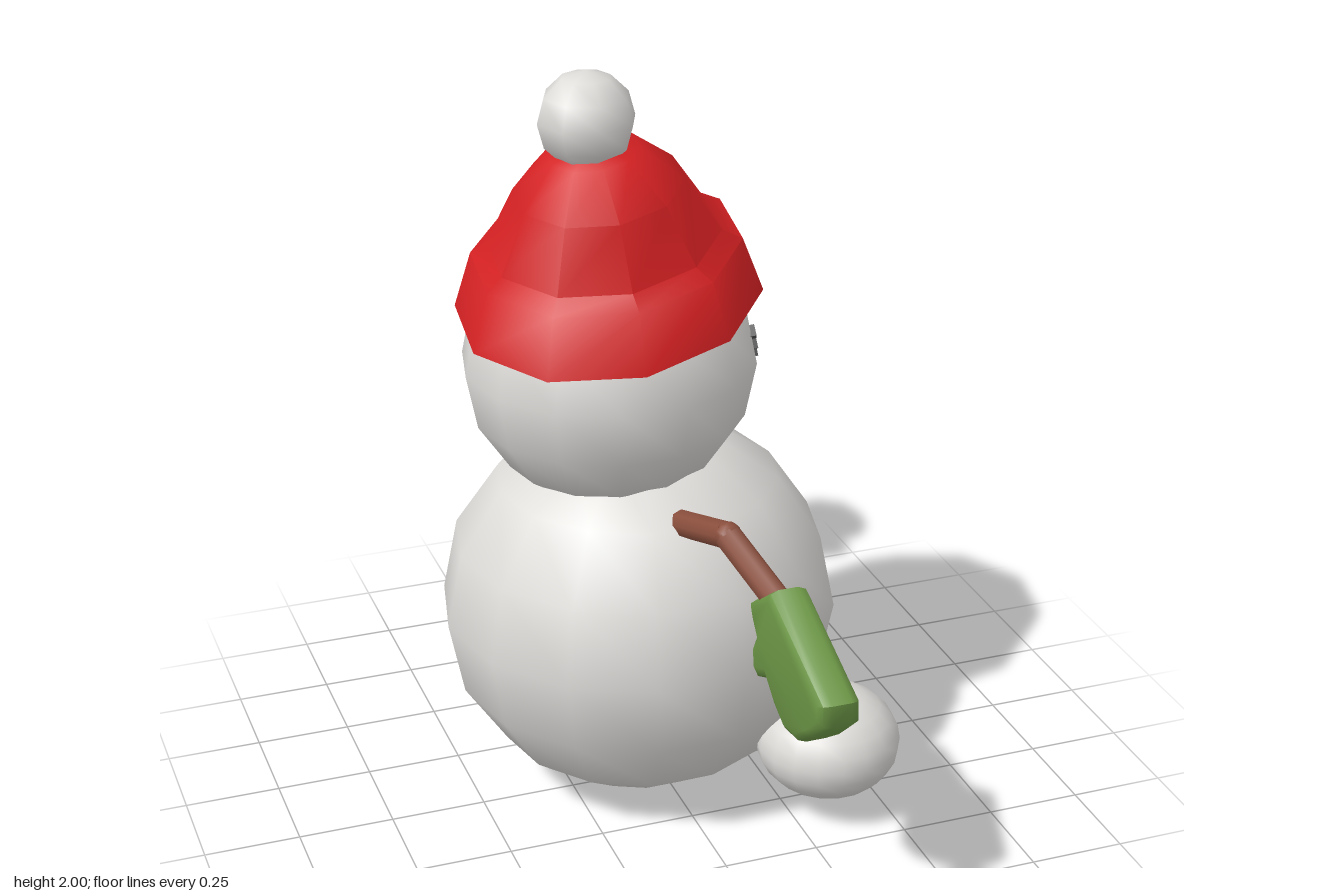
import * as THREE from 'three';
import { toCreasedNormals } from 'three/addons/utils/BufferGeometryUtils.js';

const paint = (name, color, side = THREE.FrontSide) => {
  const m = new THREE.MeshStandardMaterial({ color, side });
  m.name = name;
  return m;
};

export function createModel() {
  const model = new THREE.Group();
  model.name = 'snowman';
  const snow = paint('snow white', 0xdedcd9);
  const red = paint('hat red', 0xd32022, THREE.DoubleSide);
  const green = paint('mitten green', 0x6f9a48);
  const brown = paint('stick brown', 0x8c503e);
  const coal = paint('coal grey', 0x505050);

  const add = (name, geometry, material, parent = model) => {
    const mesh = new THREE.Mesh(geometry, material);
    mesh.name = name;
    parent.add(mesh);
    return mesh;
  };

  // Snowballs
  const ball = (name, [x, y, z], [rx, ry, rz], w, h) => {
    const mesh = add(name, new THREE.SphereGeometry(1, w, h), snow);
    mesh.position.set(x, y, z);
    mesh.scale.set(rx, ry, rz);
    return mesh;
  };
  ball('body', [-0.045, 0.52, -0.055], [0.52, 0.515, 0.52], 14, 8);
  const head = ball('head', [-0.115, 1.21, -0.07], [0.378, 0.375, 0.378], 14, 8);
  ball('rightFoot', [0.355, 0.208, 0.313], [0.19, 0.147, 0.19], 18, 12);
  ball('leftFoot', [0.37, 0.158, -0.353], [0.19, 0.15, 0.19], 18, 12);
  ball('pompom', [-0.193, 1.877, 0.008], [0.125, 0.123, 0.125], 8, 6);

  // Hat: ten-sided rings, all tilted the same way
  const rings = [
    [-0.115, 1.39, -0.07, 0.35],
    [-0.115, 1.375, -0.07, 0.39],
    [-0.12, 1.515, -0.07, 0.342],
    [-0.128, 1.545, -0.062, 0.295],
    [-0.16, 1.705, 0.0, 0.213],
    [-0.178, 1.8, 0.008, 0.115],
    [-0.18, 1.825, 0.008, 0.001],
  ];
  const sides = 10;
  const positions = [];
  const index = [];
  rings.forEach(([x, y, z, r], k) => {
    for (let i = 0; i < sides; i++) {
      const a = (85 / 180) * Math.PI + (i / sides) * Math.PI * 2;
      const dx = r * Math.cos(a);
      const dz = -r * Math.sin(a);
      positions.push(x + dx, y + 0.14 * dx - 0.13 * dz, z + dz);
      if (k === 0) continue;
      const j = (i + 1) % sides;
      const lo = (k - 1) * sides;
      const hi = k * sides;
      index.push(lo + i, lo + j, hi + j, lo + i, hi + j, hi + i);
    }
  });
  const hat = new THREE.BufferGeometry();
  hat.setAttribute('position', new THREE.Float32BufferAttribute(positions, 3));
  hat.setIndex(index);
  add('hat', toCreasedNormals(hat, 0.75), red);

  // Stick arms: straight pieces with a rounded elbow
  const arm = (name, points, r) => {
    const group = new THREE.Group();
    group.name = name;
    model.add(group);
    const p = points.map((q) => new THREE.Vector3(...q));
    for (let i = 0; i < p.length - 1; i++) {
      const dir = p[i + 1].clone().sub(p[i]);
      const stick = add('stick', new THREE.CylinderGeometry(r, r, dir.length(), 8), brown, group);
      stick.position.copy(p[i]).addScaledVector(dir, 0.5);
      stick.quaternion.setFromUnitVectors(new THREE.Vector3(0, 1, 0), dir.normalize());
    }
    add('elbow', new THREE.SphereGeometry(r, 8, 6), brown, group).position.copy(p[1]);
  };
  arm('rightArm', [[-0.045, 0.87, 0.22], [-0.01, 0.962, 0.51], [0.065, 0.84, 0.7]], 0.035);
  arm('leftArm', [[-0.03, 0.875, -0.36], [-0.03, 0.875, -0.645], [0.01, 1.07, -0.765]], 0.036);

  // Mittens: outlines in z and y, bevelled, then leaned sideways by a rule
  const mitten = (name, outline, lean) => {
    const shape = new THREE.Shape(outline.map(([z, y]) => new THREE.Vector2(z, y)));
    const geometry = new THREE.ExtrudeGeometry(shape, {
      depth: 0.05, bevelEnabled: true, bevelThickness: 0.028,
      bevelSize: 0.024, bevelOffset: -0.024, bevelSegments: 2,
    });
    geometry.translate(0, 0, -0.025);
    geometry.rotateY(-Math.PI / 2);
    const p = geometry.attributes.position;
    for (let i = 0; i < p.count; i++) p.setX(i, p.getX(i) + lean(p.getY(i), p.getZ(i)));
    add(name, toCreasedNormals(geometry, 0.8), green);
  };
  mitten('rightMitten', [
    [0.72, 0.91], [0.60, 0.825], [0.605, 0.79], [0.62, 0.74], [0.59, 0.69], [0.585, 0.64],
    [0.61, 0.61], [0.655, 0.635], [0.685, 0.58], [0.73, 0.53], [0.80, 0.53], [0.87, 0.58],
    [0.94, 0.645], [0.95, 0.71],
  ], (y, z) => 0.055 + 0.1 * (0.9 - y) + 0.12 * (z - 0.65));
  mitten('leftMitten', [
    [-0.667, 1.035], [-0.815, 1.018], [-0.95, 1.3], [-0.89, 1.375], [-0.78, 1.412],
    [-0.69, 1.39], [-0.655, 1.33], [-0.668, 1.24], [-0.62, 1.25], [-0.598, 1.21],
    [-0.635, 1.14], [-0.67, 1.1],
  ], () => 0.01);

  // Face: coal pieces laid on the facets of the head
  head.updateMatrixWorld(true);
  const ray = new THREE.Raycaster();
  const onFace = (name, geometry, y, z, turn) => {
    ray.set(new THREE.Vector3(2, y, z), new THREE.Vector3(-1, 0, 0));
    const hit = ray.intersectObject(head)[0];
    const normal = hit.face.normal.clone().transformDirection(head.matrixWorld);
    const piece = add(name, geometry, coal);
    piece.position.copy(hit.point);
    piece.lookAt(hit.point.clone().add(normal));
    piece.rotateZ(turn);
  };
  for (const [y, z] of [[1.355, -0.055], [1.335, -0.225]]) {
    const eye = new THREE.CylinderGeometry(0.028, 0.028, 0.024, 8).rotateX(Math.PI / 2);
    onFace('eye', eye.scale(1, 1.75, 1), y, z, 0);
  }
  const mouth = [
    [1.29, 0.073, 0.03], [1.247, 0.048, 0.03], [1.21, -0.004, 0.04], [1.187, -0.08, 0.05],
    [1.173, -0.17, 0.05], [1.183, -0.245, 0.046], [1.207, -0.29, 0.036], [1.242, -0.325, 0.03],
  ];
  mouth.forEach(([y, z, s], i) =>
    onFace('mouthCoal', new THREE.BoxGeometry(s, s, 0.026), y, z, (i - 3.7) * 0.17));

  return model;
}
